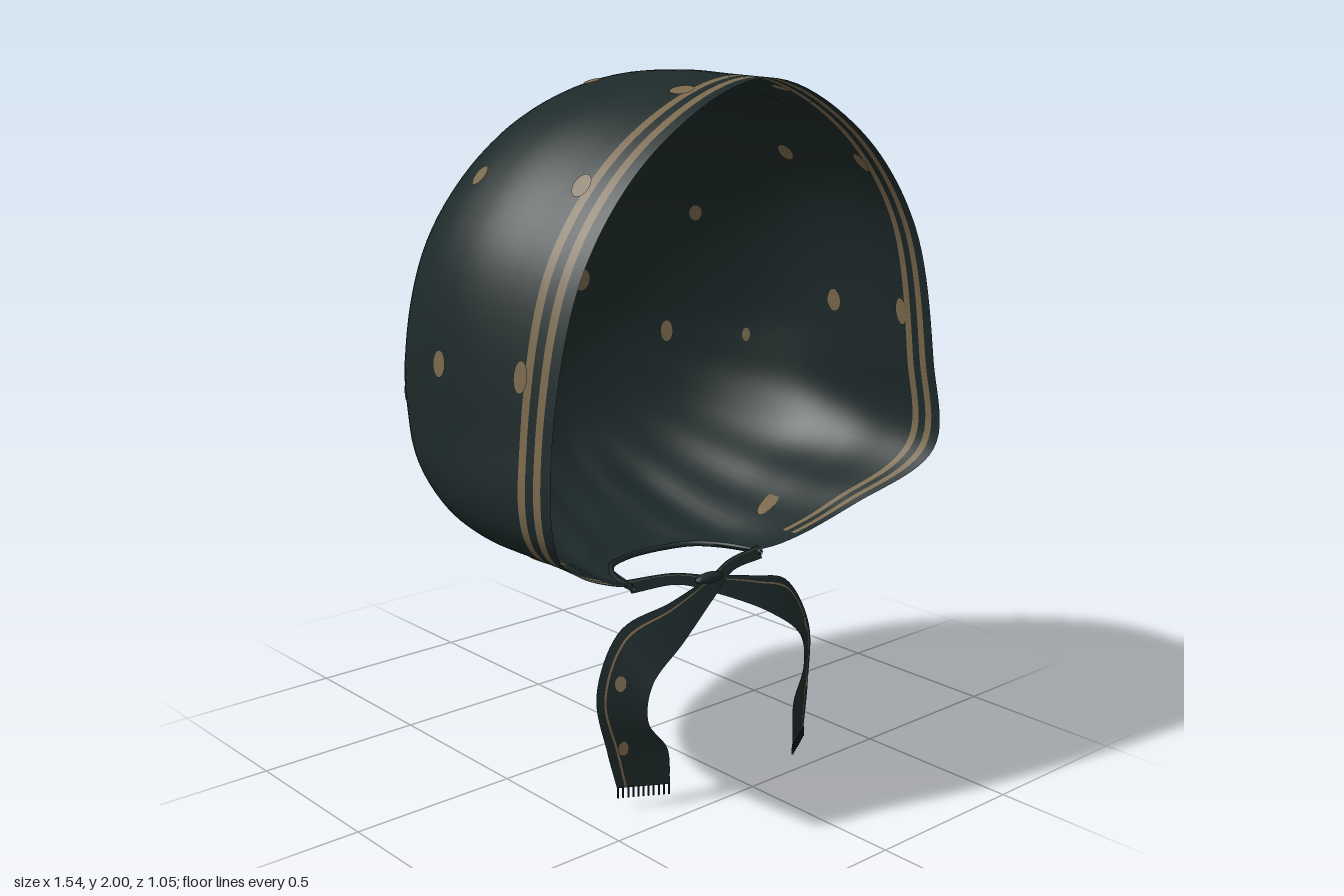
import * as THREE from 'three';

const V = (x, y, z) => new THREE.Vector3(x, y, z);
const CY = 1.2; // height of the axis running from the face opening to the crown
const POLE = V(0, CY, -0.525);

// Profiles from the front edge to the back: angle, then [radius, z] pairs
const PROFILES = [
  [90, [.79, .51], [.795, .35], [.80, .15], [.775, -.06], [.64, -.28], [.44, -.42], [.2, -.505]],
  [60, [.735, .51], [.76, .35], [.79, .14], [.765, -.07], [.615, -.29], [.415, -.435], [.2, -.505]],
  [30, [.705, .51], [.74, .35], [.778, .13], [.752, -.08], [.6, -.295], [.395, -.445], [.197, -.505]],
  [-4, [.717, .51], [.735, .35], [.757, .12], [.73, -.1], [.59, -.3], [.38, -.45], [.19, -.505]],
  [-24, [.79, .52], [.805, .36], [.81, .17], [.755, -.06], [.6, -.28], [.4, -.42], [.2, -.5]],
  [-42, [.72, .39], [.715, .28], [.705, .12], [.67, -.07], [.56, -.26], [.4, -.4], [.2, -.495]],
  [-67, [.65, .27], [.655, .17], [.645, .06], [.61, -.08], [.53, -.25], [.39, -.4], [.22, -.49]],
  [-75, [.63, .07], [.625, .02], [.605, -.04], [.575, -.13], [.5, -.275], [.385, -.415], [.22, -.495]],
  [-90, [.62, .01], [.605, -.03], [.585, -.08], [.55, -.16], [.48, -.3], [.375, -.42], [.2, -.505]],
];

// Indexed geometry with one group per index list
function grouped(points, ...lists) {
  const g = new THREE.BufferGeometry().setFromPoints(points);
  g.setIndex(lists.flat());
  let start = 0;
  lists.forEach((l, m) => { g.addGroup(start, l.length, m); start += l.length; });
  g.computeVertexNormals();
  return g;
}

function hoodGeometry() {
  // Closed loops around the axis, one per profile column
  const loops = [];
  for (let c = 1; c <= 7; c++) {
    const side = PROFILES.map(row => {
      const a = THREE.MathUtils.degToRad(row[0]), [r, z] = row[c];
      return V(Math.cos(a) * r, CY + Math.sin(a) * r, z);
    });
    const mirror = side.slice(1, -1).reverse().map(p => V(-p.x, p.y, p.z));
    loops.push(new THREE.CatmullRomCurve3([...side, ...mirror], true));
  }
  // Extra stops in the first stretch give the two border stripes
  const stops = [0, .22, .38, .56, .72].map(f => f / 7);
  for (let k = 8; k < 56; k++) stops.push(k / 56);
  const n = 160, m = stops.length, points = [];
  for (let i = 0; i < n; i++) {
    const profile = new THREE.CatmullRomCurve3([...loops.map(l => l.getPoint(i / n)), POLE]);
    for (const u of stops) {
      const p = profile.getPoint(u);
      // Soft gathers toward the nape
      const a = Math.atan2(p.y - CY, p.x);
      const fold = 1 + .007 * Math.cos(22 * a) * Math.sin(Math.PI * u) * Math.max(0, .2 - Math.sin(a));
      points.push(V(p.x * fold, CY + (p.y - CY) * fold, p.z));
    }
  }
  points.push(POLE);
  const cloth = [], stripe = [];
  for (let i = 0; i < n; i++) {
    const a = i * m, b = ((i + 1) % n) * m;
    for (let j = 0; j < m - 1; j++) {
      const trim = (j === 1 || j === 3) && (i < 56 || i >= n - 56);
      (trim ? stripe : cloth).push(a + j, a + j + 1, b + j, b + j, a + j + 1, b + j + 1);
    }
    cloth.push(a + m - 1, n * m, b + m - 1);
  }
  return grouped(points, cloth, stripe);
}

// Ribbon between two edge curves, with a narrow stripe near the outer edge
function tieGeometry(outer, inner) {
  const A = new THREE.CatmullRomCurve3(outer), B = new THREE.CatmullRomCurve3(inner);
  const across = [0, .15, .19, .6, 1], n = 60, w = across.length, points = [], cloth = [], stripe = [];
  for (let i = 0; i <= n; i++) {
    for (const v of across) points.push(A.getPoint(i / n).lerp(B.getPoint(i / n), v));
  }
  for (let i = 0; i < n; i++) {
    for (let j = 0; j < w - 1; j++) {
      const a = i * w + j, b = a + w;
      (j === 1 ? stripe : cloth).push(a, a + 1, b, b, a + 1, b + 1);
    }
  }
  return grouped(points, cloth, stripe);
}

export function createModel() {
  const group = new THREE.Group();
  const cloth = new THREE.MeshStandardMaterial({ color: 0x1d2929, side: THREE.DoubleSide });
  cloth.name = 'dark green cloth';
  const tan = new THREE.MeshStandardMaterial({ color: 0x78674b, side: THREE.DoubleSide });
  tan.name = 'tan print';
  const add = (name, geometry, material) => {
    const mesh = new THREE.Mesh(geometry, material);
    mesh.name = name;
    group.add(mesh);
    return mesh;
  };

  // Pair of thin dots on both faces of the cloth nearest to a point
  const disc = new THREE.CircleGeometry(1, 20);
  function dot(geometry, target, rx, ry) {
    const pos = geometry.attributes.position, nor = geometry.attributes.normal;
    const v = V(), best = V(), normal = V();
    let min = Infinity;
    for (let i = 0; i < pos.count; i++) {
      const d = v.fromBufferAttribute(pos, i).distanceTo(target);
      if (d < min) { min = d; best.copy(v); normal.fromBufferAttribute(nor, i); }
    }
    const center = target.clone().addScaledVector(normal, -target.clone().sub(best).dot(normal));
    for (const s of [1, -1]) {
      const mesh = add('dot', disc, tan);
      mesh.position.copy(center).addScaledVector(normal, s * .004);
      mesh.scale.set(rx, ry, 1);
      mesh.lookAt(mesh.position.clone().addScaledVector(normal, s));
    }
  }

  // Hood
  const hood = hoodGeometry();
  add('hood', hood, [cloth, tan]);
  // Printed dots: position, then half width and half height
  const spots = [
    [.19, 1.97, .03, .027, .024], [.57, 1.74, .03, .025, .031], [.19, 1.76, -.32, .026, .028],
    [.5, 1.53, -.3, .02, .027], [.19, 1.32, -.48, .028, .036], [.455, 1.14, -.38, .019, .034],
    [.63, 1.13, -.2, .013, .022], [.75, 1.27, .08, .027, .036], [.19, 1.98, .385, .036, .026],
    [.52, 1.74, .385, .026, .035], [.72, 1.28, .385, .024, .042], [.43, .67, .12, .024, .06],
  ];
  for (const [x, y, z, rx, ry] of spots) {
    for (const s of [1, -1]) dot(hood, V(s * x, y, z), rx, ry);
  }

  // Gathered rim around the nape
  const rim = [V(.25, .592, .27), V(.225, .59, .16), V(.163, .589, .07), V(.09, .584, .03), V(0, .58, .01)];
  const rimPath = new THREE.CatmullRomCurve3([...rim, ...rim.slice(0, -1).reverse().map(p => V(-p.x, p.y, p.z))]);
  add('napeRim', new THREE.TubeGeometry(rimPath, 48, .009, 8), cloth);

  // Crossed ties with fringed ends
  const outer = [[-.25, .61, .24], [-.1, .605, .27], [0, .585, .3], [.17, .55, .32],
    [.32, .5, .31], [.41, .34, .32], [.39, .17, .34], [.365, .03, .35]];
  const inner = [[-.25, .575, .26], [-.1, .575, .29], [0, .54, .33], [.18, .45, .385],
    [.285, .36, .405], [.3, .255, .405], [.245, .165, .42], [.24, .03, .425]];
  for (const s of [1, -1]) {
    const place = ([x, y, z], i) => V(s * x * (s < 0 && i > 3 ? 1.04 : 1),
      y + (s < 0 && i === 7 ? .03 : 0), z + (s < 0 && i < 4 ? .014 : 0));
    const a = outer.map(place), b = inner.map(place);
    const tie = tieGeometry(a, b);
    add(s > 0 ? 'leftTie' : 'rightTie', tie, [cloth, tan]);
    dot(tie, V(s * .36, .18, .35), .016, .022);
    dot(tie, V(s * .365, .365, .35), .016, .022);
    for (let k = 0; k <= 10; k++) {
      const thread = add('fringe', new THREE.BoxGeometry(.004, .032, .004), cloth);
      thread.position.copy(a[7]).lerp(b[7], .02 + k * .096);
      thread.position.y -= .014;
    }
  }

  // Small knot where the ties cross
  const knot = add('knot', new THREE.SphereGeometry(1, 20, 12), cloth);
  knot.scale.set(.05, .017, .02);
  knot.position.set(0, .578, .31);
  return group;
}
